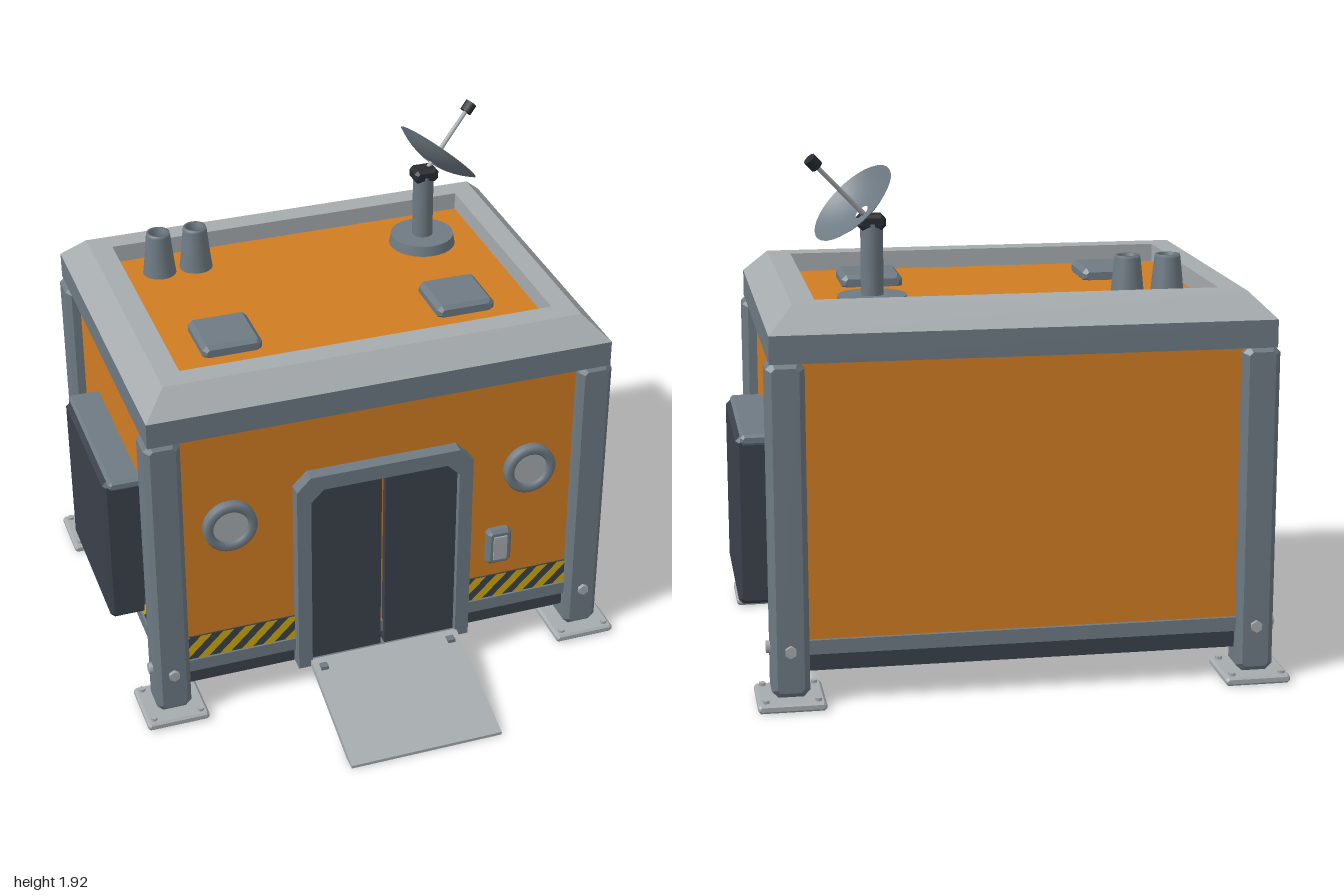
import * as THREE from 'three';

const mat = (name, color, side = THREE.FrontSide) => {
  const m = new THREE.MeshStandardMaterial({ color, side });
  m.name = name;
  return m;
};

export function createModel() {
  const orange = mat('orange panel', 0xd07c22);
  const metal = mat('blue grey metal', 0x6e7a83, THREE.DoubleSide);
  const light = mat('light grey metal', 0xa6abae);
  const dark = mat('dark slate', 0x3b414b);
  const black = mat('near black', 0x282c32);
  const yellow = mat('warning yellow', 0xcdab0c);

  const model = new THREE.Group();
  const hut = new THREE.Group(); // centred on the building footprint
  hut.name = 'hut';
  hut.position.z = -0.22;
  model.add(hut);

  const add = (parent, name, geo, material, x = 0, y = 0, z = 0) => {
    const m = new THREE.Mesh(geo, material);
    m.name = name;
    m.position.set(x, y, z);
    parent.add(m);
    return m;
  };
  const box = (w, h, d) => new THREE.BoxGeometry(w, h, d);
  const cyl = (r1, r2, h, n = 24) => new THREE.CylinderGeometry(r1, r2, h, n);
  const polygon = pts => new THREE.Shape(pts.map(p => new THREE.Vector2(...p)));

  // Box with chamfered edges, centred on its origin
  const chamferBox = (w, h, d, c) => {
    const a = w / 2 - c, b = h / 2 - c, k = c * 0.6;
    const s = polygon([[-a + k, -b], [a - k, -b], [a, -b + k], [a, b - k],
      [a - k, b], [-a + k, b], [-a, b - k], [-a, -b + k]]);
    const g = new THREE.ExtrudeGeometry(s, {
      depth: d - 2 * c, bevelThickness: c, bevelSize: c, bevelSegments: 1 });
    return g.translate(0, 0, -d / 2 + c);
  };

  // Flat-faced skin between rectangular loops [halfX, y, halfZ]
  const rectLoft = loops => {
    const pos = [];
    const corners = ([x, y, z]) => [[-x, y, z], [x, y, z], [x, y, -z], [-x, y, -z]];
    for (let i = 0; i < loops.length - 1; i++) {
      const a = corners(loops[i]), b = corners(loops[i + 1]);
      for (let j = 0; j < 4; j++) {
        const k = (j + 1) % 4;
        pos.push(...a[j], ...a[k], ...b[k], ...a[j], ...b[k], ...b[j]);
      }
    }
    const g = new THREE.BufferGeometry();
    g.setAttribute('position', new THREE.Float32BufferAttribute(pos, 3));
    g.computeVertexNormals();
    return g;
  };

  // Main body
  add(hut, 'walls', box(1.72, 1.06, 1.28), orange, 0, 0.72, 0);
  add(hut, 'baseBeam', box(1.75, 0.052, 1.31), metal, 0, 0.211, 0);
  add(hut, 'underfloor', box(1.71, 0.07, 1.27), dark, 0, 0.154, 0);

  // Roof: rim band, sloped cap and sunken deck
  add(hut, 'roofRim', rectLoft([[0.8, 1.24, 0.58], [0.9, 1.24, 0.677], [0.9, 1.34, 0.677]]), metal);
  add(hut, 'roofCap', rectLoft([[0.9, 1.34, 0.677], [0.81, 1.43, 0.588],
    [0.725, 1.43, 0.5], [0.725, 1.35, 0.5]]), light);
  add(hut, 'roofDeck', box(1.46, 0.11, 1.01), orange, 0, 1.305, 0);

  // Corner posts, foot pads and bolts
  for (const sx of [-1, 1]) for (const sz of [-1, 1]) {
    const corner = new THREE.Group();
    corner.name = 'cornerPost';
    corner.position.set(sx * 0.845, 0, sz * 0.615);
    hut.add(corner);
    add(corner, 'post', chamferBox(0.136, 1.21, 0.136, 0.02), metal, 0, 0.64, 0);
    add(corner, 'footPad', chamferBox(0.242, 0.032, 0.242, 0.008), light, 0, 0.018, 0);
    for (const bx of [-1, 1]) for (const bz of [-1, 1])
      add(corner, 'padBolt', cyl(0.013, 0.013, 0.012, 6), light, bx * 0.092, 0.039, bz * 0.092);
    add(corner, 'postBolt', cyl(0.022, 0.022, 0.03, 6), light, 0, 0.21, sz * 0.068).rotation.x = Math.PI / 2;
    add(corner, 'postBolt', cyl(0.022, 0.022, 0.03, 6), light, sx * 0.068, 0.21, 0).rotation.z = Math.PI / 2;
  }

  // Keep the part of a polygon on one side of a vertical line
  const clip = (pts, limit, sign) => {
    const out = [];
    pts.forEach((p, i) => {
      const q = pts[(i + 1) % pts.length];
      const dp = sign * (limit - p[0]), dq = sign * (limit - q[0]);
      if (dp >= 0) out.push(p);
      if (dp * dq < 0) out.push([limit, p[1] + (q[1] - p[1]) * dp / (dp - dq)]);
    });
    return out;
  };
  // Warning strip: dark plate with slanted yellow bars
  const hazard = (w, x, z, turn) => {
    const g = new THREE.Group(), h = 0.104;
    g.name = 'warningStrip';
    g.position.set(x, 0.289, z);
    g.rotation.y = turn;
    hut.add(g);
    add(g, 'stripBase', box(w, h, 0.006), dark);
    for (let a = -w / 2 - 0.13; a < w / 2; a += 0.087) {
      let p = [[a, -h / 2], [a + 0.045, -h / 2], [a + 0.045 + h, h / 2], [a + h, h / 2]];
      p = clip(clip(p, w / 2, 1), -w / 2, -1);
      if (p.length > 2) add(g, 'stripe', new THREE.ShapeGeometry(polygon(p)), yellow, 0, 0, 0.005);
    }
  };
  for (const s of [-1, 1]) {
    hazard(0.45, s * 0.56, 0.643, 0);
    hazard(1.1, s * 0.863, 0, s * Math.PI / 2);
  }

  // Doorway: chamfered frame and two sliding leaves
  const arch = (x, y0, y1, c) => [[-x, y0], [x, y0], [x, y1 - c], [x - c, y1], [-x + c, y1], [-x, y1 - c]];
  const frame = polygon(arch(0.35, 0.12, 0.995, 0.055));
  frame.holes.push(new THREE.Path(arch(0.295, 0.14, 0.935, 0.05).map(p => new THREE.Vector2(...p))));
  add(hut, 'doorFrame', new THREE.ExtrudeGeometry(frame, { depth: 0.08, bevelEnabled: false }), metal, 0, 0, 0.615);
  for (const s of [-1, 1]) {
    const pts = [[0.008, 0.13], [0.297, 0.13], [0.297, 0.885], [0.245, 0.937], [0.008, 0.937]];
    const leaf = polygon(pts.map(([x, y]) => [s * x, y]));
    add(hut, 'doorLeaf', new THREE.ExtrudeGeometry(leaf, { depth: 0.04, bevelEnabled: false }), dark, 0, 0, 0.63);
  }

  // Entry ramp with hinges
  const ramp = polygon([[0.47, 0.125], [0.9, 0.001], [0.96, 0], [0.96, 0.012], [0.47, 0.15]]);
  const rampGeo = new THREE.ExtrudeGeometry(ramp, { depth: 0.604, bevelEnabled: false });
  rampGeo.translate(0, 0, -0.302).rotateY(-Math.PI / 2);
  add(model, 'ramp', rampGeo, light);
  for (const s of [-1, 1]) add(model, 'rampHinge', box(0.03, 0.014, 0.03), metal, s * 0.262, 0.14, 0.515);

  // Round windows
  for (const s of [-1, 1]) {
    const ring = new THREE.LatheGeometry([[0.068, 0], [0.068, 0.032], [0.076, 0.04], [0.095, 0.04],
      [0.103, 0.032], [0.103, 0]].map(p => new THREE.Vector2(...p)), 32);
    add(hut, 'windowRing', ring, metal, s * 0.598, 0.826, 0.638).rotation.x = Math.PI / 2;
    add(hut, 'windowGlass', cyl(0.07, 0.07, 0.02, 32), light, s * 0.598, 0.826, 0.65).rotation.x = Math.PI / 2;
  }

  // Door control panel
  add(hut, 'controlPanel', chamferBox(0.1, 0.155, 0.05, 0.012), metal, 0.482, 0.49, 0.65);
  add(hut, 'controlPlate', box(0.055, 0.105, 0.008), light, 0.482, 0.49, 0.677);

  // Side equipment lockers
  for (const s of [-1, 1]) {
    add(hut, 'sideLocker', chamferBox(0.16, 0.632, 0.626, 0.014), dark, s * 0.92, 0.578, 0.025);
    add(hut, 'lockerCap', chamferBox(0.135, 0.04, 0.67, 0.01), metal, s * 0.915, 0.886, 0.025);
  }

  // Roof hatches and vents
  for (const x of [-0.475, 0.45])
    add(model, 'roofHatch', chamferBox(0.23, 0.06, 0.23, 0.015), metal, x, 1.375, 0);
  for (const x of [-0.57, -0.422]) {
    const vent = new THREE.LatheGeometry([[0.066, 1.355], [0.06, 1.4], [0.047, 1.525], [0.045, 1.535],
      [0.033, 1.535], [0.031, 1.49]].map(p => new THREE.Vector2(...p)), 24);
    add(model, 'ventStack', vent, metal, x, 0, -0.587);
    add(model, 'ventOpening', cyl(0.032, 0.032, 0.01), dark, x, 1.495, -0.587);
  }

  // Dish mast
  add(model, 'mastBase', cyl(0.125, 0.133, 0.045, 32), metal, 0.495, 1.378, -0.492);
  add(model, 'mast', cyl(0.041, 0.041, 0.28), metal, 0.495, 1.52, -0.49);
  add(model, 'mastHead', chamferBox(0.1, 0.055, 0.08, 0.012), black, 0.497, 1.665, -0.49);

  // Dish, tilted along its pointing axis, with feed arm
  const dish = new THREE.Group();
  dish.name = 'dish';
  dish.position.set(0.53, 1.7, -0.5);
  dish.quaternion.setFromUnitVectors(new THREE.Vector3(0, 1, 0), new THREE.Vector3(0.67, 0.71, -0.23).normalize());
  model.add(dish);
  const bowl = [];
  for (let i = 0; i <= 6; i++) {
    const r = 0.028 + 0.15 * i / 6;
    bowl.push(new THREE.Vector2(r, 0.052 * (r / 0.178) ** 2));
  }
  add(dish, 'dishBowl', new THREE.LatheGeometry(bowl, 32), metal);
  add(dish, 'feedArm', cyl(0.008, 0.01, 0.3, 10), light, 0, 0.11, 0);
  add(dish, 'feedHead', cyl(0.024, 0.024, 0.042, 10), black, 0, 0.265, 0);

  return model;
}
